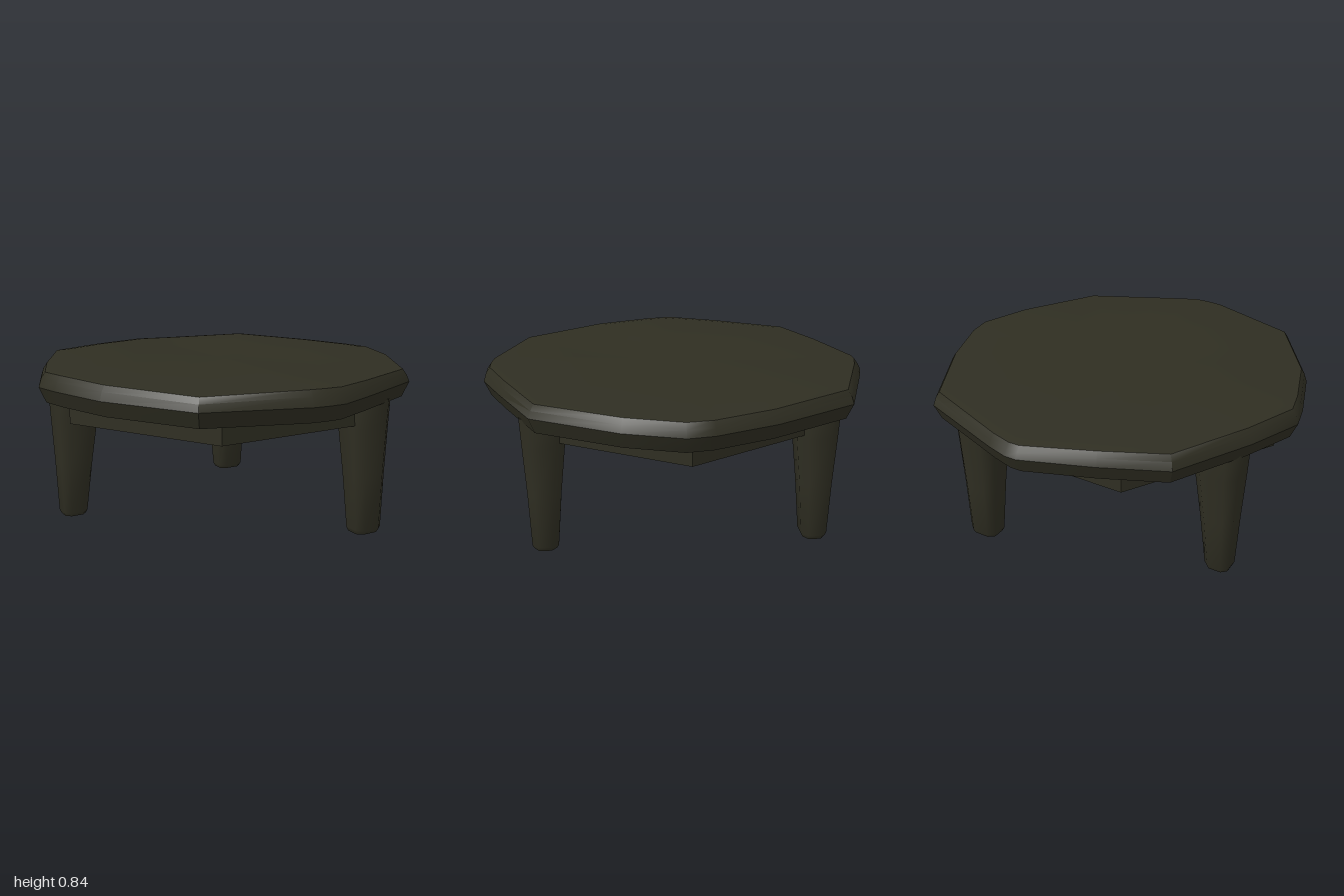
import * as THREE from 'three';
import { toCreasedNormals } from 'three/addons/utils/BufferGeometryUtils.js';

// Skin a stack of rings (each a list of [x, y, z], anticlockwise from above)
function loft(rings, capped, crease) {
  const n = rings[0].length;
  const pos = rings.flat(2);
  const index = [];
  for (let r = 0; r < rings.length - 1; r++) {
    for (let i = 0; i < n; i++) {
      const j = (i + 1) % n;
      const a = r * n + i, b = r * n + j, c = a + n, d = b + n;
      index.push(a, b, d, a, d, c);
    }
  }
  if (capped) {
    [0, rings.length - 1].forEach((r) => {
      const centre = pos.length / 3;
      for (let k = 0; k < 3; k++) pos.push(rings[r].reduce((s, p) => s + p[k], 0) / n);
      for (let i = 0; i < n; i++) {
        const a = r * n + i, b = r * n + (i + 1) % n;
        if (r === 0) index.push(centre, b, a);
        else index.push(centre, a, b);
      }
    });
  }
  const g = new THREE.BufferGeometry();
  g.setAttribute('position', new THREE.Float32BufferAttribute(pos, 3));
  g.setIndex(index);
  return toCreasedNormals(g, crease);
}

// Uneven outline of the slab as [x, z]
const OUTLINE = [
  [-0.04, -1], [0.02, -1], [0.13, -0.97], [0.61, -0.8], [0.85, -0.39], [0.97, -0.09],
  [0.99, 0.04], [0.9, 0.32], [0.67, 0.73], [0.29, 0.9], [0.07, 0.99], [-0.02, 0.99],
  [-0.1, 0.98], [-0.59, 0.82], [-0.86, 0.39], [-0.96, 0.08], [-0.99, -0.06],
  [-0.88, -0.34], [-0.68, -0.73], [-0.38, -0.87],
].reverse();

function slabGeometry() {
  const layers = [
    [0.92, 0.672], [0.965, 0.682], [1, 0.76], [0.985, 0.8], [0.965, 0.828], [0.9, 0.836], [0.5, 0.836],
  ];
  const rings = layers.map(([s, y]) => OUTLINE.map(([x, z]) => {
    // gentle hand-cut waviness on the top, dipping slightly at the back
    const wave = y > 0.78 ? 0.006 * Math.sin(5 * x + 2 * z) + 0.008 * Math.min(z, 0) : 0;
    return [x * s, y + wave, z * s];
  }));
  return loft(rings, true, 0.6);
}

// Hexagonal frame with a sloping inner wall
function apronGeometry() {
  const hex = (r, y) => Array.from({ length: 6 }, (_, i) => {
    const a = i * Math.PI / 3;
    return [r * Math.cos(a), y, -r * Math.sin(a)];
  });
  return loft([hex(0.86, 0.575), hex(0.86, 0.685), hex(0.7, 0.685), hex(0.79, 0.575), hex(0.86, 0.575)], false, 0.5);
}

// Tapered leg with chamfered corners and a bevelled foot; sections are [y, x, z, half width, half depth]
function legGeometry(sections) {
  const k = 0.55;
  const corners = [[1, k], [k, 1], [-k, 1], [-1, k], [-1, -k], [-k, -1], [k, -1], [1, -k]];
  const rings = sections.map(([y, x, z, w, d]) => corners.map(([u, v]) => [x + u * w, y, z - v * d]));
  return loft(rings, true, 0.9);
}

export function createModel() {
  const model = new THREE.Group();
  model.name = 'stool';
  const darkWood = new THREE.MeshStandardMaterial({ color: 0x2f2e22 });
  darkWood.name = 'darkWood';

  const add = (name, geometry) => {
    const mesh = new THREE.Mesh(geometry, darkWood);
    mesh.name = name;
    model.add(mesh);
  };

  add('tabletop', slabGeometry());
  add('apron', apronGeometry());

  // [name, foot x, foot z, top x, top z, foot half width]
  const legs = [
    ['frontLeg', 0.44, 0.695, 0.425, 0.68, 0.08],
    ['backLeg', 0.44, -0.675, 0.425, -0.665, 0.08],
    ['rightLeg', -0.745, -0.31, -0.72, -0.305, 0.066],
  ];
  legs.forEach(([name, fx, fz, tx, tz, w]) => {
    add(name, legGeometry([
      [0, fx, fz, w * 0.88, 0.056],
      [0.02, fx, fz, w, 0.066],
      [0.3, (fx + tx) / 2, (fz + tz) / 2, (w + 0.11) / 2, 0.083],
      [0.56, tx, tz, 0.112, 0.104],
      [0.7, tx, tz, 0.118, 0.11],
    ]));
  });
  return model;
}
